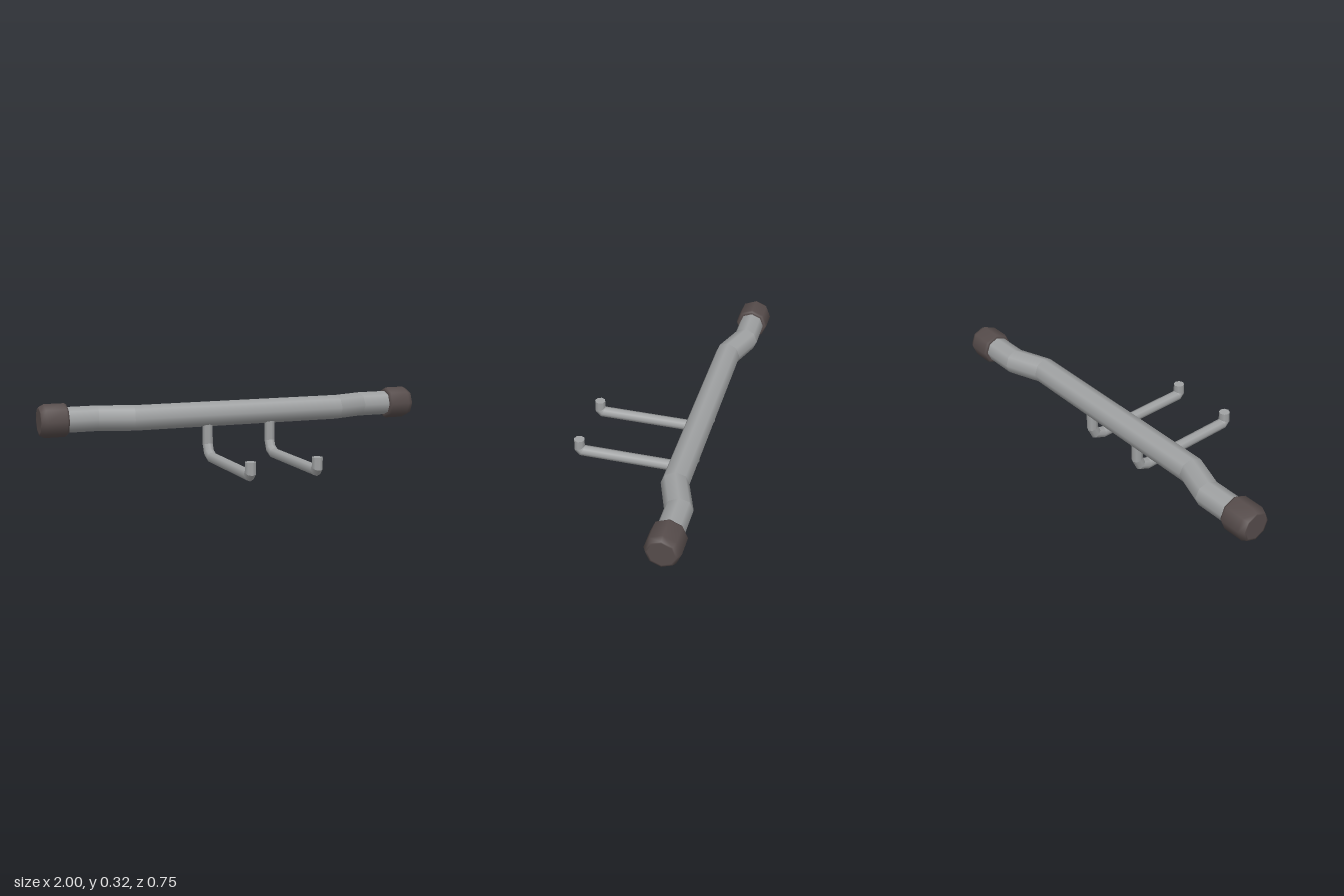
import * as THREE from 'three';

// Sweeps a mitred round tube along a planar path; `side` is the normal of that plane.
// Segments are smooth around but keep crisp bends; both ends are closed.
function bentTube(path, radius, sides, side) {
  const pts = path.map((p) => new THREE.Vector3(...p));
  const dirs = pts.slice(1).map((p, i) => p.clone().sub(pts[i]).normalize());
  const norms = dirs.map((d) => side.clone().cross(d));
  const position = [], normal = [], index = [];

  const add = (p, n) => {
    position.push(p.x, p.y, p.z);
    normal.push(n.x, n.y, n.z);
    return position.length / 3 - 1;
  };
  const around = (n, a) =>
    n.clone().multiplyScalar(Math.cos(a)).addScaledVector(side, Math.sin(a));
  const mitre = (i) => {
    const a = norms[Math.max(i - 1, 0)], b = norms[Math.min(i, norms.length - 1)];
    const m = a.clone().add(b).normalize();
    return m.divideScalar(m.dot(a));
  };
  const ringPoint = (i, a) => around(mitre(i), a).multiplyScalar(radius).add(pts[i]);

  dirs.forEach((d, s) => {
    const first = position.length / 3;
    for (let j = 0; j <= sides; j++) {
      const a = (j / sides) * Math.PI * 2;
      const n = around(norms[s], a);
      add(ringPoint(s, a), n);
      add(ringPoint(s + 1, a), n);
    }
    for (let j = 0; j < sides; j++) {
      const k = first + j * 2;
      index.push(k, k + 2, k + 3, k, k + 3, k + 1);
    }
  });

  // Flat discs at both ends
  for (const end of [0, pts.length - 1]) {
    const n = end ? dirs[dirs.length - 1] : dirs[0].clone().negate();
    const c = add(pts[end], n);
    for (let j = 0; j <= sides; j++) add(ringPoint(end, (j / sides) * Math.PI * 2), n);
    for (let j = 1; j <= sides; j++) {
      if (end) index.push(c, c + j, c + j + 1);
      else index.push(c, c + j + 1, c + j);
    }
  }

  const g = new THREE.BufferGeometry();
  g.setAttribute('position', new THREE.Float32BufferAttribute(position, 3));
  g.setAttribute('normal', new THREE.Float32BufferAttribute(normal, 3));
  g.setIndex(index);
  return g;
}

export function createModel() {
  const model = new THREE.Group();
  model.name = 'bumperBar';

  const steel = new THREE.MeshStandardMaterial({ color: 0xa0a2a3 });
  steel.name = 'grey steel';
  const rubber = new THREE.MeshStandardMaterial({ color: 0x564c4b });
  rubber.name = 'dark rubber';

  const addMesh = (name, geometry, material) => {
    const mesh = new THREE.Mesh(geometry, material);
    mesh.name = name;
    model.add(mesh);
    return mesh;
  };

  // Main cross bar, stepped back toward both ends
  const y = 0.24, zMid = -0.232, zEnd = -0.291;
  const barPath = [
    [-0.9, y, zEnd], [-0.71, y, zEnd], [-0.545, y, zMid],
    [0.545, y, zMid], [0.71, y, zEnd], [0.9, y, zEnd],
  ];
  addMesh('crossBar', bentTube(barPath, 0.063, 8, new THREE.Vector3(0, 1, 0)), steel);

  // Octagonal end caps with bevelled rims
  const capProfile = [
    [0, 0.866], [0.066, 0.866], [0.076, 0.866], [0.082, 0.876],
    [0.082, 0.975], [0.069, 1], [0.06, 1], [0, 1],
  ].map(([r, h]) => new THREE.Vector2(r, h));
  const capGeometry = new THREE.LatheGeometry(capProfile, 8).rotateZ(-Math.PI / 2);
  for (const s of [1, -1]) {
    const cap = addMesh(s > 0 ? 'leftEndCap' : 'rightEndCap', capGeometry, rubber);
    cap.position.set(0, y, zEnd);
    if (s < 0) cap.rotation.y = Math.PI;
  }

  // Mounting arms: down from the bar, forward, then a short upturned tip
  for (const s of [1, -1]) {
    const armPath = [
      [-0.228, 0.21], [-0.228, 0.088], [-0.209, 0.048], [-0.166, 0.03],
      [0.33, 0.03], [0.345, 0.045], [0.345, 0.094],
    ].map(([z, h]) => [s * 0.168, h, z]);
    addMesh(s > 0 ? 'leftMountingArm' : 'rightMountingArm',
      bentTube(armPath, 0.027, 8, new THREE.Vector3(1, 0, 0)), steel);
  }

  return model;
}
